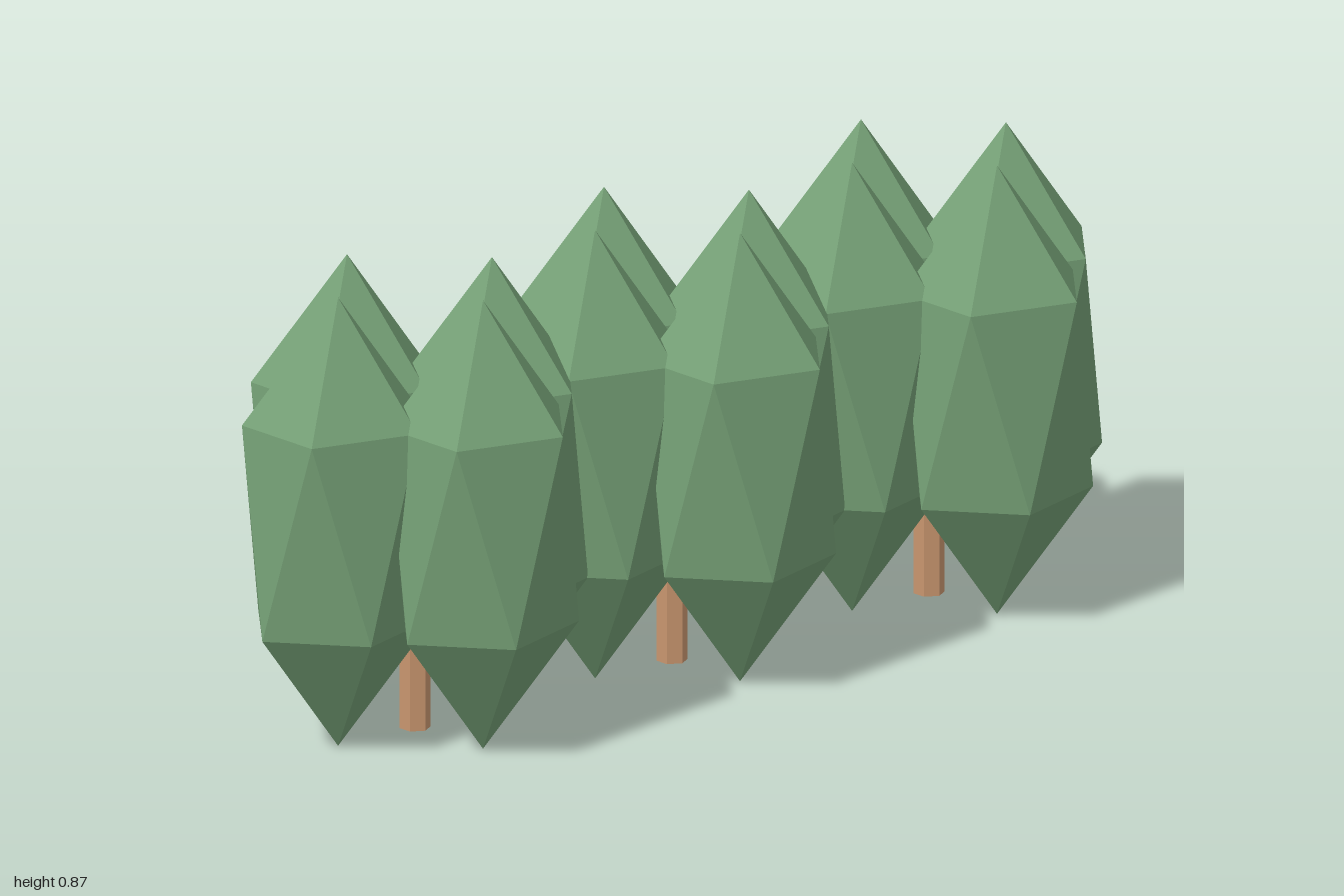
import * as THREE from 'three';
import { ConvexGeometry } from 'three/addons/geometries/ConvexGeometry.js';

const leafGreen = new THREE.MeshStandardMaterial({ color: 0x75a076, flatShading: true });
leafGreen.name = 'leafGreen';
const barkBrown = new THREE.MeshStandardMaterial({ color: 0xc8966f, flatShading: true });
barkBrown.name = 'barkBrown';

// Stretched twenty-sided crown: two tips and two staggered rings of five
function crownGeometry() {
  const halfHeight = 0.431, ringY = 0.193, rx = 0.185, rz = 0.165;
  const points = [new THREE.Vector3(0, halfHeight, 0), new THREE.Vector3(0, -halfHeight, 0)];
  for (let i = 0; i < 10; i++) {
    const a = (i * Math.PI) / 5;
    points.push(new THREE.Vector3(rx * Math.cos(a), i % 2 ? -ringY : ringY, rz * Math.sin(a)));
  }
  return new ConvexGeometry(points);
}

export function createModel() {
  const model = new THREE.Group();
  model.name = 'treeRow';
  const crown = crownGeometry();
  const trunkHeight = 0.43;
  const trunk = new THREE.CylinderGeometry(0.029, 0.029, trunkHeight, 6);

  for (const x of [-0.628, 0, 0.628]) {
    const tree = new THREE.Group();
    tree.name = 'tree';
    tree.position.x = x;

    // Six-sided trunk
    const trunkMesh = new THREE.Mesh(trunk, barkBrown);
    trunkMesh.name = 'trunk';
    trunkMesh.position.y = trunkHeight / 2;
    tree.add(trunkMesh);

    // Four crowns around the trunk
    for (const [dx, dz] of [[1, 0], [-1, 0], [0, 1], [0, -1]]) {
      const mesh = new THREE.Mesh(crown, leafGreen);
      mesh.name = 'crown';
      mesh.position.set(dx * 0.188, 0.434, dz * 0.189);
      tree.add(mesh);
    }
    model.add(tree);
  }
  return model;
}
